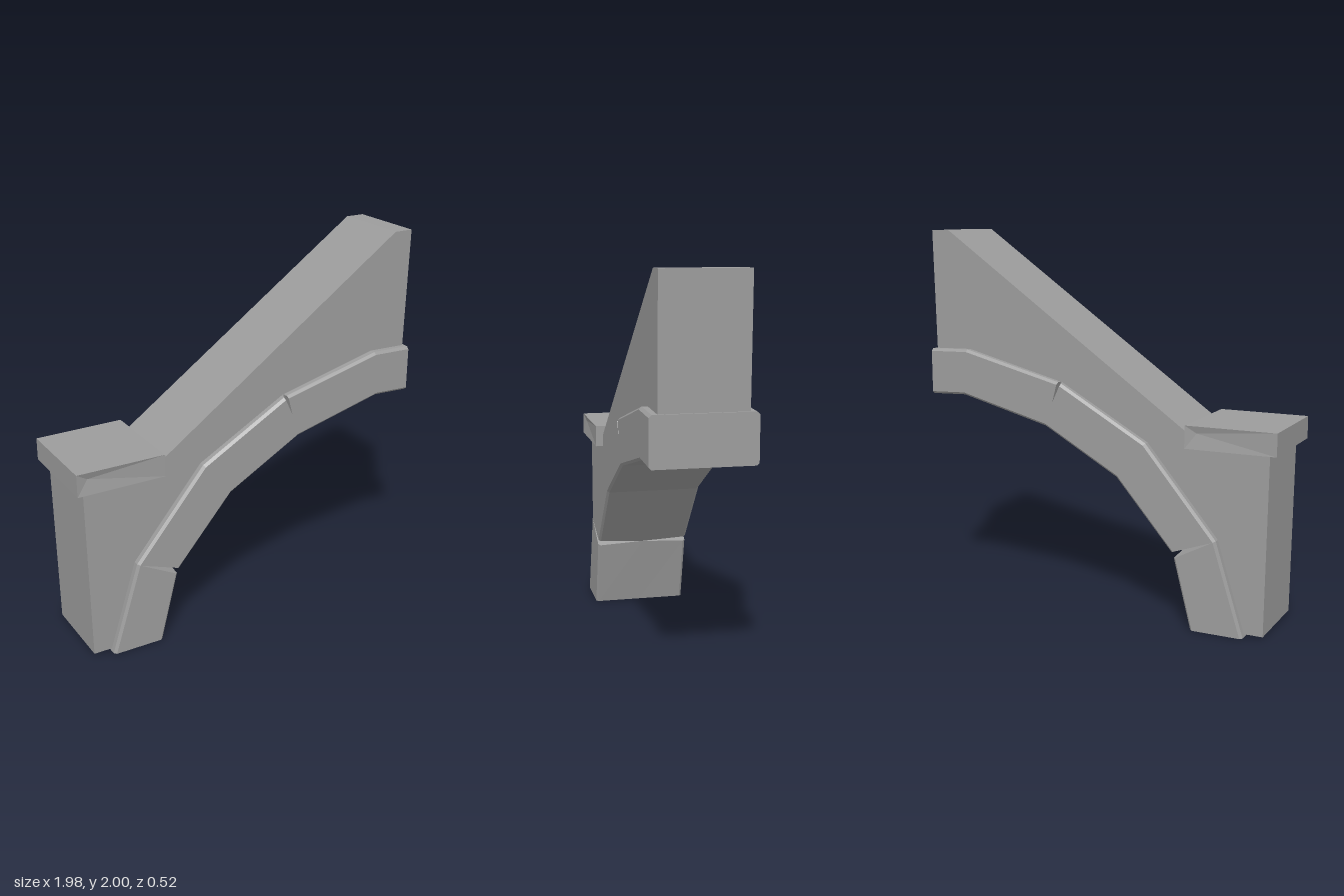
import * as THREE from 'three';

const material = new THREE.MeshStandardMaterial({ color: 0x9c9c9c, flatShading: true });

// Flat-faced geometry from points and polygons (each polygon fans from its first corner)
function faceted(points, polygons) {
  const out = [];
  for (const p of polygons)
    for (let i = 1; i < p.length - 1; i++)
      for (const k of [p[0], p[i], p[i + 1]]) out.push(...points[k]);
  const geo = new THREE.BufferGeometry();
  geo.setAttribute('position', new THREE.Float32BufferAttribute(out, 3));
  geo.computeVertexNormals();
  return geo;
}

// Arch joints from foot to crown, on the outer and inner curve
const OUTER = [[-0.835, 0], [-0.683, 0.485], [-0.295, 0.948], [0.195, 1.224], [0.76, 1.368], [0.982, 1.363]];
const INNER = [[-0.553, 0], [-0.452, 0.384], [-0.135, 0.758], [0.279, 0.992], [0.78, 1.122], [0.982, 1.115]];

// Half of the chamfered band section: [fraction from outer to inner, inset from outer, z]
const HALF = [
  [0, 0, 0], [0, 0, 0.215], [0, 0, 0.243], [0, 0.013, 0.257],
  [0.45, 0, 0.257], [1, -0.012, 0.257], [1, 0, 0.245], [1, 0, 0],
];
const RING = 14;

// Cracks: how far each section point is pulled back from the joint
const SOFFIT_CRACK = { hub: 7, pull: [0, 0, 0, 0, 0.007, 0.016, 0.016, 0] };
const CROWN_CRACK = { hub: 0, pull: [0, 0, 0.009, 0.009, 0, 0, 0, 0] };
const PLAIN = { hub: 0, pull: [0, 0, 0, 0, 0, 0, 0, 0] };

function archSection(i, crack, direction) {
  const o = new THREE.Vector2(...OUTER[i]);
  const n = new THREE.Vector2(...INNER[i]);
  const down = n.clone().sub(o).normalize();
  const along = new THREE.Vector2(-down.y, down.x);
  const ring = [];
  for (let j = 0; j < RING; j++) {
    const k = j < 8 ? j : RING - j;
    const [v, inset, z] = HALF[k];
    const p = o.clone().lerp(n, v).addScaledVector(down, inset)
      .addScaledVector(along, crack.pull[k] * direction);
    ring.push([p.x, p.y, j < 8 ? z : -z]);
  }
  return ring;
}

// One closed stone of the arch, between two joints
function archStone(from, to, startCrack, endCrack) {
  const points = [], polygons = [];
  for (let i = from; i <= to; i++) {
    const crack = i === from ? startCrack : i === to ? endCrack : PLAIN;
    points.push(...archSection(i, crack, i === from ? 1 : -1));
  }
  for (let s = 0; s < to - from; s++)
    for (let j = 0; j < RING; j++) {
      const a = s * RING + j, b = s * RING + (j + 1) % RING;
      polygons.push([a, b, b + RING, a + RING]);
    }
  const last = (to - from) * RING;
  const order = hub => Array.from({ length: RING }, (_, j) => (hub + j) % RING);
  const start = order(startCrack.hub);
  polygons.push([start[0], ...start.slice(1).reverse()]);
  polygons.push(order(endCrack.hub).map(j => j + last));
  return faceted(points, polygons);
}

// Pier and sloping wall; the lower edge runs hidden inside the arch
function wallGeometry() {
  const outline = [
    [-0.93, 0.013], [-0.78, 0.013], [-0.63, 0.465], [-0.26, 0.9], [0.21, 1.17],
    [0.76, 1.31], [0.97, 1.31], [0.985, 2], [0.88, 2], [-0.52, 1.01], [-0.945, 1.01],
  ];
  const shape = new THREE.Shape(outline.map(p => new THREE.Vector2(...p)));
  return new THREE.ExtrudeGeometry(shape, { depth: 0.43, bevelEnabled: false }).translate(0, 0, -0.215);
}

// Cap slab, with a shallow gouge at opposite ends of its front and back
function capGeometry() {
  const x0 = -0.99, x1 = -0.515, y0 = 0.945, y1 = 1.062;
  return faceted([
    [x0, y0, 0.26], [x1, y0, 0.256], [x1, y1, 0.256], [x0, y1, 0.258],
    [x0, y0, -0.253], [x1, y0, -0.262], [x1, y1, -0.26], [x0, y1, -0.253],
    [-0.93, 1.025, 0.246], [-0.575, 1.025, -0.249],
  ], [
    [8, 0, 1], [8, 1, 2], [8, 2, 3], [8, 3, 0],
    [9, 5, 4], [9, 6, 5], [9, 7, 6], [9, 4, 7],
    [3, 2, 6, 7], [0, 4, 5, 1], [1, 5, 6, 2], [0, 3, 7, 4],
  ]);
}

export function createModel() {
  const model = new THREE.Group();
  model.name = 'flyingButtress';
  const add = (name, geometry) => {
    const mesh = new THREE.Mesh(geometry, material);
    mesh.name = name;
    model.add(mesh);
  };
  add('wall', wallGeometry());
  add('pierCap', capGeometry());
  add('archFoot', archStone(0, 1, PLAIN, SOFFIT_CRACK));
  add('archMiddle', archStone(1, 3, SOFFIT_CRACK, CROWN_CRACK));
  add('archCrown', archStone(3, 5, CROWN_CRACK, PLAIN));
  return model;
}
